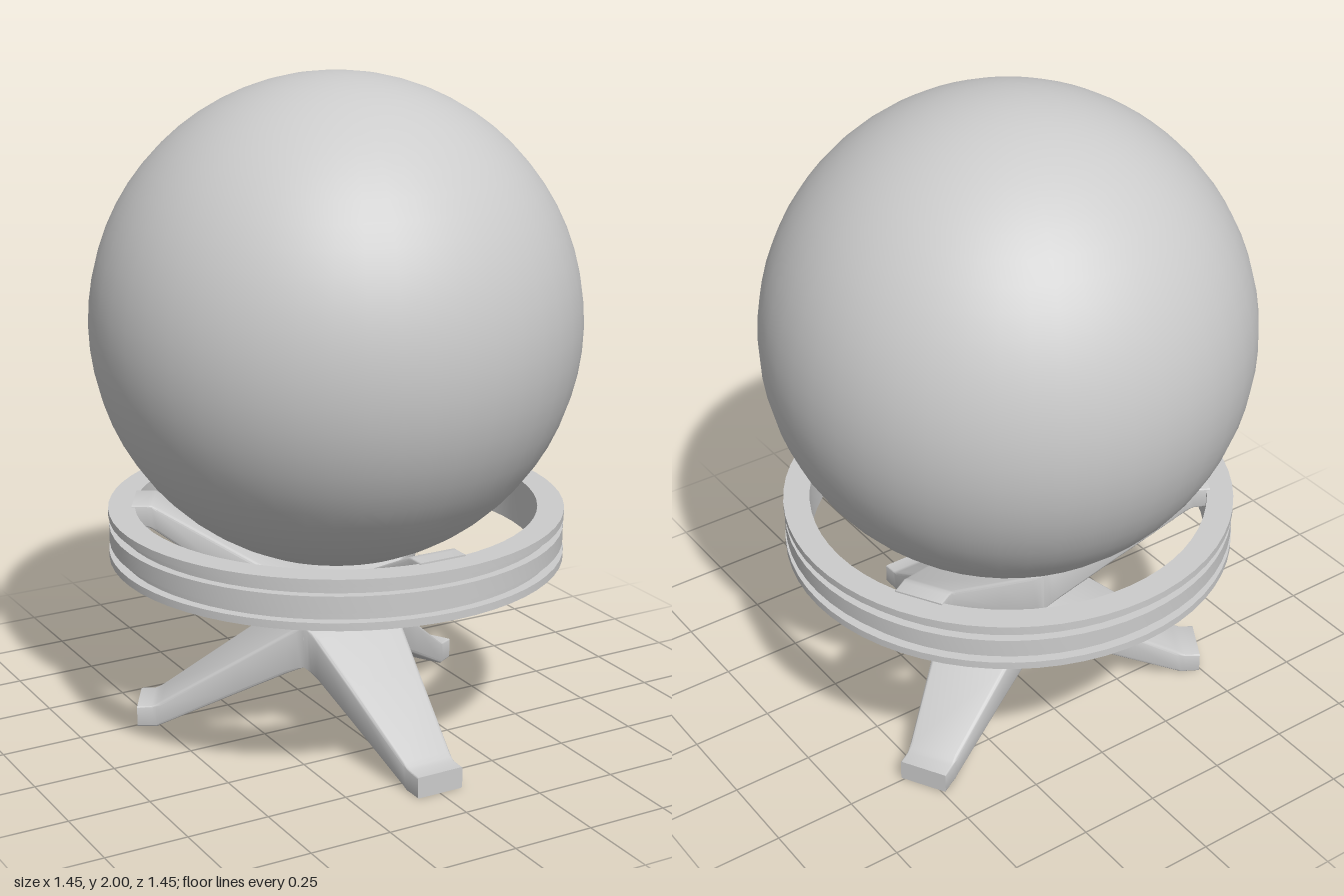
import * as THREE from 'three';
import { toCreasedNormals } from 'three/addons/utils/BufferGeometryUtils.js';

const MID = 0.3575; // height of the stand's plane of symmetry

// Rounded rectangle section, counterclockwise seen from the tip of the leg
function section(r, halfWidth, bottom, top, round) {
  const points = [];
  const corners = [[1, bottom, 1], [1, top, -1], [-1, top, -1], [-1, bottom, 1]];
  corners.forEach(([side, y, up], k) => {
    for (let i = 0; i <= 3; i++) {
      const a = -Math.PI / 2 + (k + i / 3) * Math.PI / 2;
      points.push([
        side * (halfWidth - round) + Math.cos(a) * round,
        y + up * round + Math.sin(a) * round,
        r,
      ]);
    }
  });
  return points;
}

// One lower leg running along +z, from a third of the hub to the foot
function legGeometry() {
  const stations = [
    // distance, half width, bottom, top, edge rounding
    [0.001, 0.0017, 0.279, MID, 0],
    [0.05, 0.0866, 0.2545, MID, 0],
    [0.095, 0.1645, 0.235, MID, 0],
    [0.105, 0.158, 0.228, 0.357, 0.003],
    [0.12, 0.153, 0.219, 0.351, 0.008],
    [0.145, 0.147, 0.206, 0.337, 0.012],
    [0.3, 0.12, 0.127, 0.236, 0.012],
    [0.535, 0.08, 0.007, 0.083, 0.01],
    [0.55, 0.077, 0, 0.073, 0.006],
    [0.565, 0.075, 0, 0.067, 0.004],
    [0.61, 0.075, 0, 0.065, 0.004],
  ];
  const loops = stations.map((s) => section(...s));
  const n = loops[0].length;
  const positions = loops.flat(2);
  const index = [];
  for (let i = 0; i < loops.length - 1; i++) {
    for (let j = 0; j < n; j++) {
      const a = i * n + j, b = i * n + (j + 1) % n;
      index.push(a, b, b + n, a, b + n, a + n);
    }
  }
  // Foot end cap
  const last = (loops.length - 1) * n;
  for (let j = 1; j < n - 1; j++) index.push(last, last + j, last + j + 1);
  const geometry = new THREE.BufferGeometry();
  geometry.setAttribute('position', new THREE.Float32BufferAttribute(positions, 3));
  geometry.setIndex(index);
  return toCreasedNormals(geometry, 0.6);
}

export function createModel() {
  const model = new THREE.Group();
  model.name = 'globeOnStand';
  const material = new THREE.MeshStandardMaterial({ color: 0xcccccc });
  const add = (name, geometry, parent = model) => {
    const mesh = new THREE.Mesh(geometry, material);
    mesh.name = name;
    parent.add(mesh);
    return mesh;
  };

  // Ball
  add('ball', new THREE.SphereGeometry(0.727, 48, 32)).position.y = 1.273;

  // Grooved support ring
  const profile = [
    [0.605, 0.56], [0.685, 0.56], [0.685, 0.583], [0.657, 0.583], [0.657, 0.61],
    [0.683, 0.61], [0.683, 0.66], [0.657, 0.66], [0.657, 0.687], [0.685, 0.687],
    [0.685, 0.71], [0.605, 0.71], [0.605, 0.56],
  ].map(([x, y]) => new THREE.Vector2(x, y));
  add('supportRing', toCreasedNormals(new THREE.LatheGeometry(profile, 64), 0.6));

  // Three legs, each with the same shape turned over as an arm above it
  const leg = legGeometry();
  const arm = leg.clone().translate(0, -MID, 0).rotateZ(Math.PI).translate(0, MID, 0);
  const stand = new THREE.Group();
  stand.name = 'stand';
  model.add(stand);
  for (let i = 0; i < 3; i++) {
    const angle = i * Math.PI * 2 / 3;
    add('leg' + (i + 1), leg, stand).rotation.y = angle;
    add('arm' + (i + 1), arm, stand).rotation.y = angle;
  }
  return model;
}
